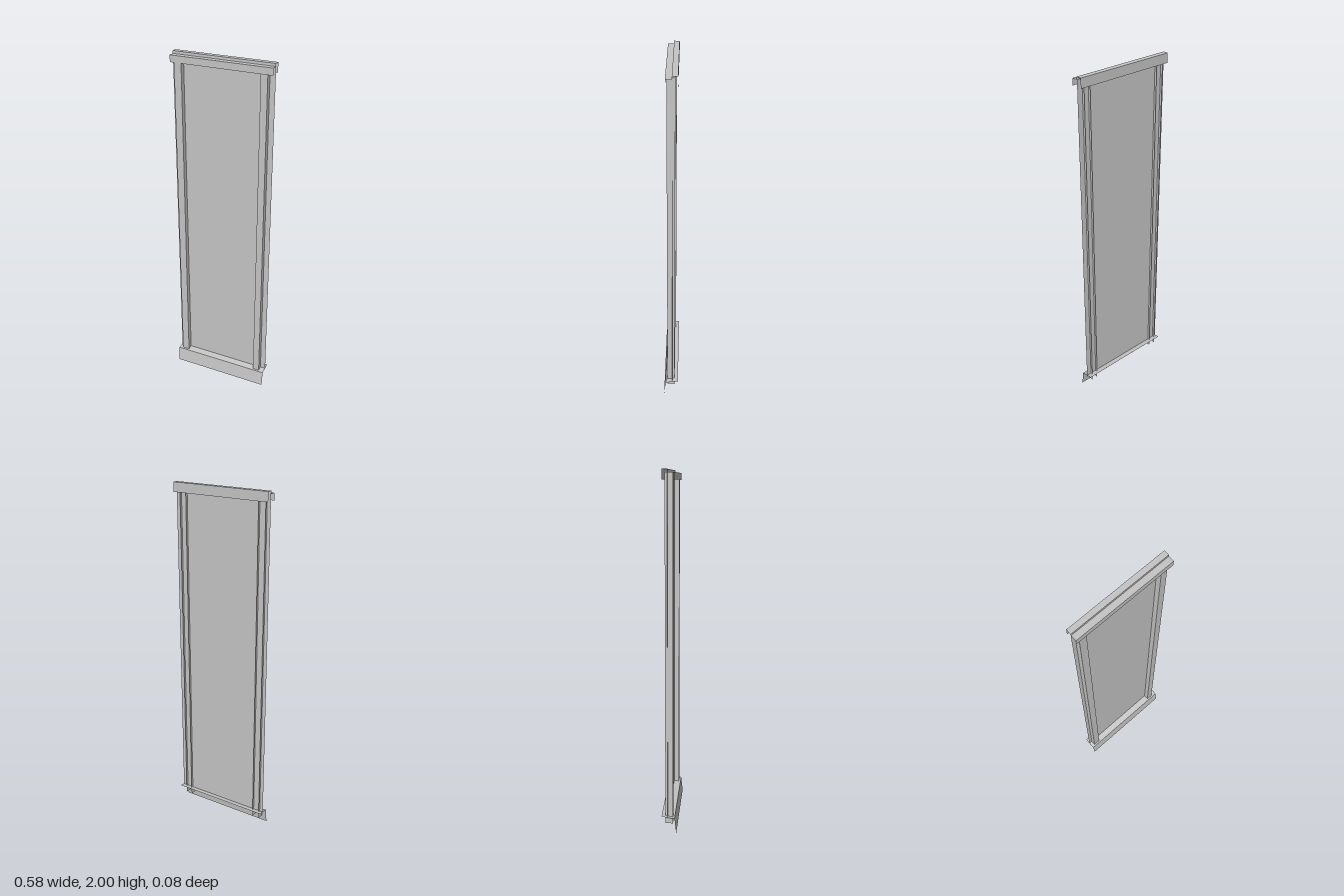
import * as THREE from 'three';

const HALF_WIDTH = 0.291;

// Folded thin sheet: a 2D profile swept between two ends, one flat face per fold
function foldedSheet(name, profile, place, from, to, material) {
  const positions = [];
  for (let i = 0; i < profile.length - 1; i++) {
    const a = place(profile[i], from), b = place(profile[i + 1], from);
    const c = place(profile[i + 1], to), d = place(profile[i], to);
    for (const p of [a, b, c, a, c, d]) positions.push(...p);
  }
  const geometry = new THREE.BufferGeometry();
  geometry.setAttribute('position', new THREE.Float32BufferAttribute(positions, 3));
  geometry.computeVertexNormals();
  const mesh = new THREE.Mesh(geometry, material);
  mesh.name = name;
  return mesh;
}

export function createModel() {
  const group = new THREE.Group();
  group.name = 'wallPanel';
  const metal = new THREE.MeshStandardMaterial({ color: 0xc5c5c5, side: THREE.DoubleSide });
  metal.name = 'light grey metal';

  const upright = ([x, z], y) => [x, y, z];
  const lengthwise = ([z, y], x) => [x, y, z];

  // Flat panel, profile as [x, z]
  const panel = [[-HALF_WIDTH, -0.008], [HALF_WIDTH, -0.008]];
  group.add(foldedSheet('panel', panel, upright, 1.985, 0.085, metal));

  // Channel studs, open at the back and hanging below the sill
  for (const [name, l, r] of [['rightStud', -0.27, -0.228], ['leftStud', 0.222, 0.26]]) {
    const channel = [[l, -0.022], [l, 0.021], [r, 0.021], [r, -0.022]];
    group.add(foldedSheet(name, channel, upright, 1.985, 0.05, metal));
  }

  // Stepped top cap, profile as [z, y]
  const cap = [[0.027, 1.947], [0.027, 1.985], [-0.006, 1.985], [-0.006, 2], [-0.036, 2], [-0.036, 1.947]];
  group.add(foldedSheet('topCap', cap, lengthwise, HALF_WIDTH, -HALF_WIDTH, metal));

  // Sloped sill with a flared front skirt, profile as [z, y]
  const sill = [[0.041, 0], [0.031, 0.088], [-0.042, 0.1]];
  group.add(foldedSheet('bottomSill', sill, lengthwise, HALF_WIDTH, -HALF_WIDTH, metal));

  return group;
}
